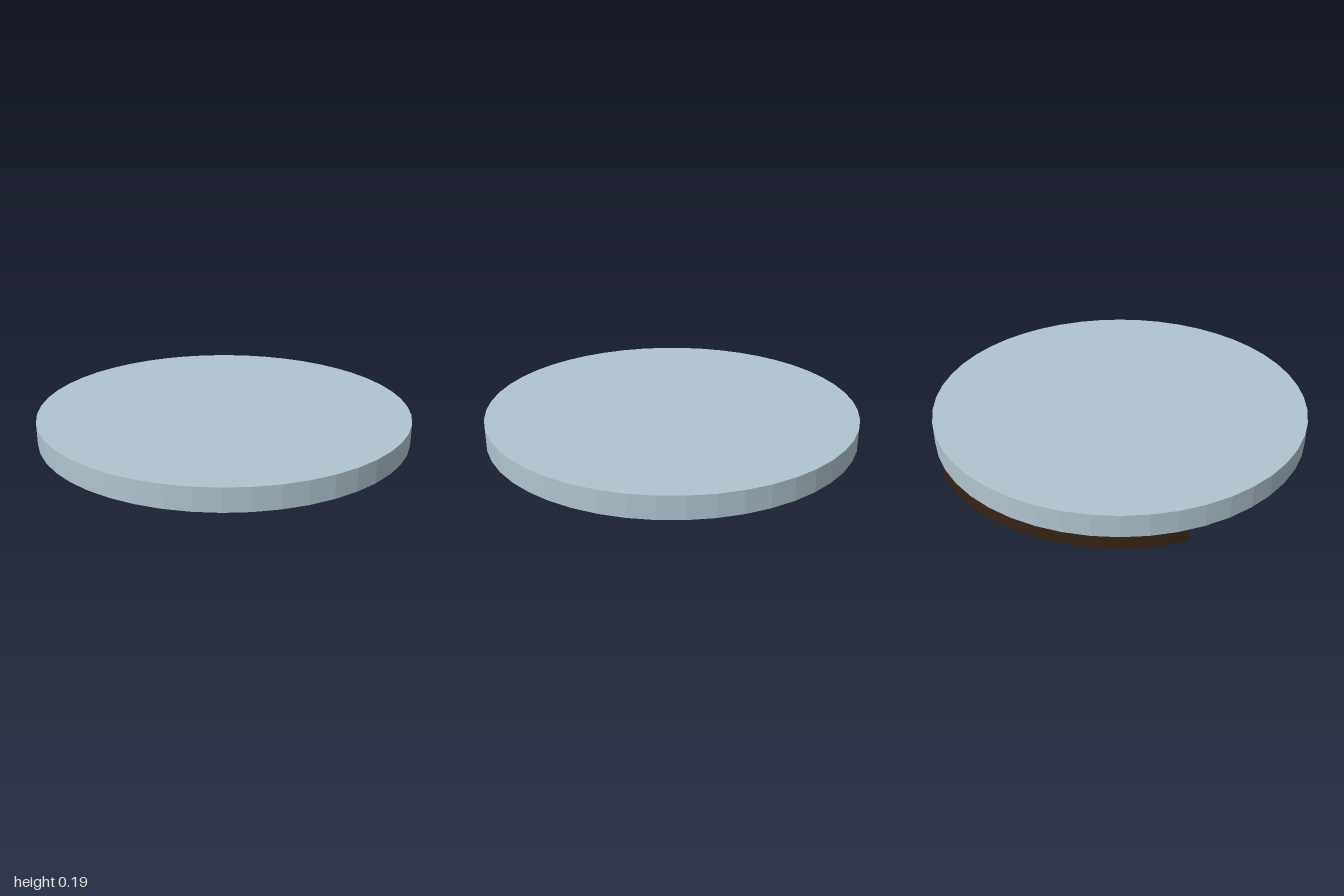
import * as THREE from 'three';

export function createModel() {
  const group = new THREE.Group();

  // Flat round plate
  const bottom = 0.065, top = 0.185;
  const plate = new THREE.Mesh(
    new THREE.CylinderGeometry(1, 1, top - bottom, 48),
    new THREE.MeshStandardMaterial({ color: 0xb0c4ce, flatShading: true })
  );
  plate.name = 'plate';
  plate.position.y = (bottom + top) / 2;
  group.add(plate);

  // Circular-segment strip under the rear edge, cut off by a straight chord
  const half = THREE.MathUtils.degToRad(40.4);
  const outline = new THREE.Shape();
  outline.absarc(0, 0, 1, Math.PI / 2 - half, Math.PI / 2 + half, false);
  outline.closePath();
  const stripGeometry = new THREE.ExtrudeGeometry(outline, {
    depth: bottom, bevelEnabled: false, curveSegments: 16
  });
  stripGeometry.rotateX(-Math.PI / 2);
  const strip = new THREE.Mesh(
    stripGeometry,
    new THREE.MeshStandardMaterial({ color: 0x352314, flatShading: true })
  );
  strip.name = 'rearStrip';
  group.add(strip);

  return group;
}
